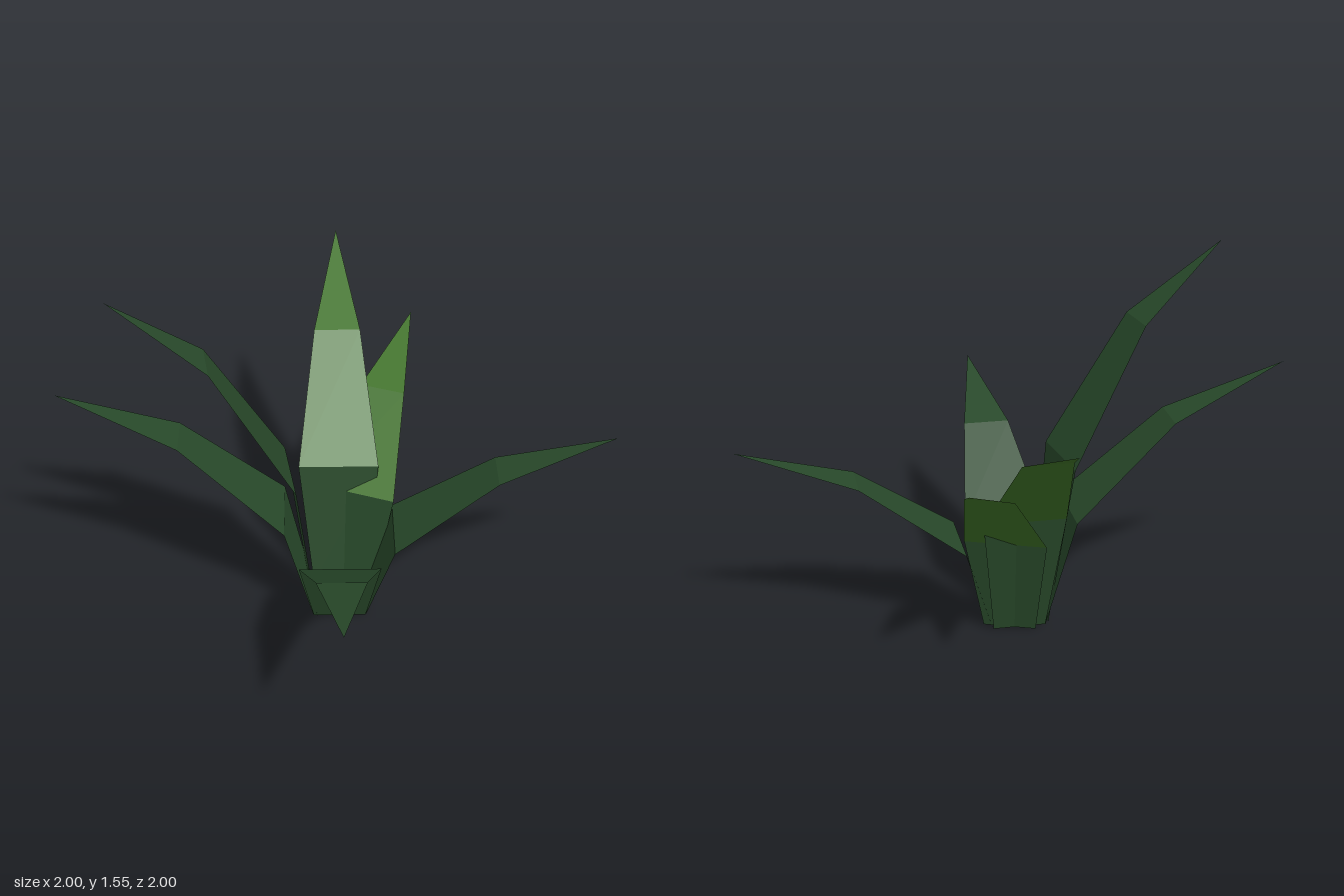
import * as THREE from 'three';

// Each cross-section: share of leaf height, radial step (0 base, 1 tip), half width
const SECTIONS = [
  { h: 0, r: 0, w: 0.11 },
  { h: 0.45, r: 0.114, w: 0.17 },
  { h: 0.808, r: 0.527, w: 0.099 },
  { h: 1, r: 1, w: 0 },
];
const BASE_RADIUS = 0.112;

// Leaves named by direction, with the ground position and height of the tip
const LEAVES = [
  { name: 'frontLeaf', x: 0.53, z: 1.0, height: 0.77 },
  { name: 'leftLeaf', x: 1.0, z: -0.53, height: 0.83 },
  { name: 'backLeaf', x: -0.53, z: -1.0, height: 1.19, bright: true },
  { name: 'rightLeaf', x: -1.0, z: 0.53, height: 1.06 },
  { name: 'tallRightLeaf', x: -0.72, z: 0.53, height: 1.555 },
  { name: 'smallBackLeaf', x: -0.1, z: -0.89, height: 0.94, bright: true },
];

// Folded strip through consecutive sections, running outward along +z
function stripGeometry(sections, height, reach) {
  const positions = [];
  const index = [];
  sections.forEach(({ h, r, w }, i) => {
    const z = BASE_RADIUS + r * (reach - BASE_RADIUS);
    positions.push(-w, h * height, z, w, h * height, z);
    if (i === 0) return;
    const a = (i - 1) * 2;
    index.push(a, a + 1, a + 2);
    if (w > 0) index.push(a + 1, a + 3, a + 2);
  });
  const indexed = new THREE.BufferGeometry();
  indexed.setAttribute('position', new THREE.Float32BufferAttribute(positions, 3));
  indexed.setIndex(index);
  const geometry = indexed.toNonIndexed();
  geometry.computeVertexNormals();
  return geometry;
}

function leafMaterial(name, color) {
  const material = new THREE.MeshStandardMaterial({ color, flatShading: true, side: THREE.DoubleSide });
  material.name = name;
  return material;
}

export function createModel() {
  const darkGreen = leafMaterial('darkGreen', 0x28492a);
  const brightGreen = leafMaterial('brightGreen', 0x3f7227);

  const plant = new THREE.Group();
  plant.name = 'plant';

  for (const { name, x, z, height, bright } of LEAVES) {
    const leaf = new THREE.Group();
    leaf.name = name;
    const reach = Math.hypot(x, z);

    // Upright lower part
    const stalk = new THREE.Mesh(stripGeometry(SECTIONS.slice(0, 2), height, reach), darkGreen);
    stalk.name = 'leafBase';

    // Arching blade up to the pointed tip
    const blade = new THREE.Mesh(stripGeometry(SECTIONS.slice(1), height, reach), bright ? brightGreen : darkGreen);
    blade.name = 'leafBlade';

    leaf.add(stalk, blade);
    leaf.rotation.y = Math.atan2(x, z);
    plant.add(leaf);
  }
  return plant;
}
